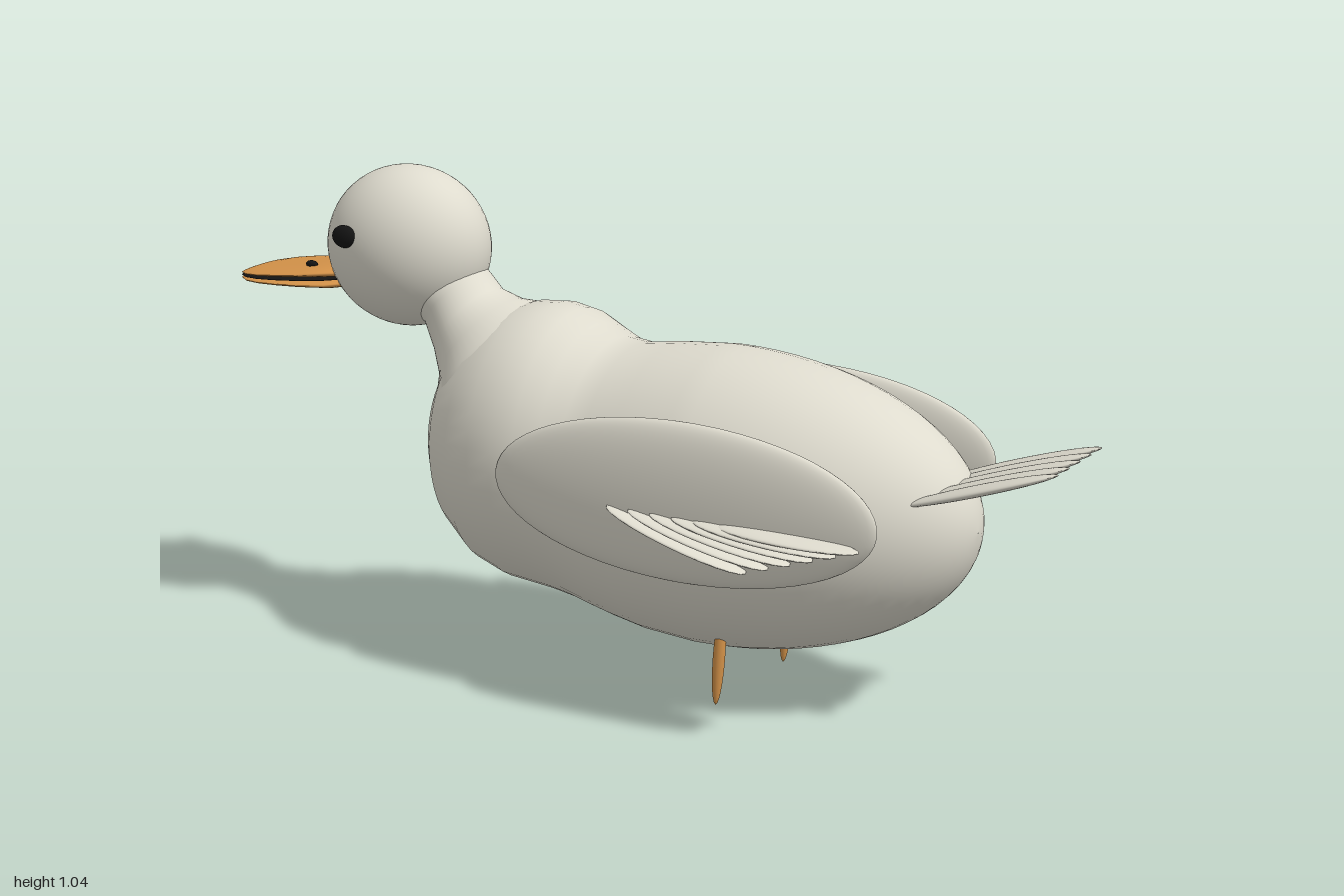
import * as THREE from 'three';

const plumage = new THREE.MeshStandardMaterial({ color: 0xdedbce });
plumage.name = 'pale plumage';
const orange = new THREE.MeshStandardMaterial({ color: 0xd6944a });
orange.name = 'bill orange';
const black = new THREE.MeshStandardMaterial({ color: 0x141414 });
black.name = 'black';

// Closed smooth skin through elliptical rings: [lowX, lowY, highX, highY, halfWidthZ]
function loft(sections, n = 48) {
  const pos = [], index = [];
  for (const [ax, ay, bx, by, w] of sections) {
    for (let j = 0; j < n; j++) {
      const a = (j / n) * Math.PI * 2, c = Math.cos(a) / 2;
      pos.push((ax + bx) / 2 + (bx - ax) * c, (ay + by) / 2 + (by - ay) * c, w * Math.sin(a));
    }
  }
  for (let i = 0; i < sections.length - 1; i++) {
    for (let j = 0; j < n; j++) {
      const k = (j + 1) % n, p = i * n, q = p + n;
      index.push(p + j, p + k, q + j, p + k, q + k, q + j);
    }
  }
  const geo = new THREE.BufferGeometry();
  geo.setAttribute('position', new THREE.Float32BufferAttribute(pos, 3));
  geo.setIndex(index);
  geo.computeVertexNormals();
  return geo;
}

// Rings standing upright along x: [x, bottom, top, halfWidthZ]
const uprightLoft = (rows) => loft(rows.map(([x, b, t, w]) => [x, b, x, t, w]));

function add(group, name, geo, mat) {
  const mesh = new THREE.Mesh(geo, mat);
  mesh.name = name;
  group.add(mesh);
  return mesh;
}

function ellipsoid(group, name, mat, center, radii, tilt = 0, detail = 32) {
  const geo = new THREE.SphereGeometry(1, detail, Math.ceil(detail * 0.6));
  const mesh = add(group, name, geo.scale(...radii), mat);
  mesh.position.set(...center);
  mesh.rotation.z = tilt;
  return mesh;
}

export function createModel() {
  const duck = new THREE.Group();
  duck.name = 'duck';

  // Body: rounded breast, slight waist, then a long egg-shaped rear
  const rows = [
    [-0.48, 0.459, 0.461, 0.001], [-0.476, 0.41, 0.51, 0.055], [-0.465, 0.365, 0.56, 0.095],
    [-0.44, 0.3, 0.64, 0.15], [-0.4, 0.24, 0.7, 0.205], [-0.33, 0.185, 0.752, 0.253],
    [-0.26, 0.162, 0.774, 0.276], [-0.2, 0.156, 0.778, 0.281], [-0.15, 0.15, 0.768, 0.278],
    [-0.1, 0.14, 0.742, 0.27], [-0.05, 0.126, 0.717, 0.268], [0, 0.114, 0.71, 0.273],
    [0.08, 0.099, 0.721, 0.288],
  ];
  for (let i = 0; i <= 20; i++) {
    const a = (i / 20) * Math.PI / 2 * 0.999 + 0.0005;
    const c = Math.cos(a);
    rows.push([0.2 + 0.587 * Math.sin(a), 0.41 - 0.32 * c, 0.41 + 0.32 * c, 0.297 * c]);
  }
  add(duck, 'body', uprightLoft(rows), plumage);

  // Neck sweeping from the head back into the breast
  add(duck, 'neck', loft([
    [-0.58, 0.75, -0.45, 0.88, 0.1], [-0.515, 0.7, -0.395, 0.825, 0.097],
    [-0.487, 0.64, -0.365, 0.79, 0.108], [-0.465, 0.58, -0.315, 0.772, 0.135],
    [-0.462, 0.51, -0.25, 0.768, 0.185], [-0.45, 0.43, -0.18, 0.74, 0.2],
  ]), plumage);

  ellipsoid(duck, 'head', plumage, [-0.58, 0.867, 0], [0.19, 0.178, 0.157], 0, 48);

  // Bill: two flat mandibles with a dark mouth line between them
  const bill = new THREE.Group();
  bill.name = 'bill';
  duck.add(bill);
  const outline = [
    [-1, 0.002], [-0.996, 0.045], [-0.98, 0.082], [-0.95, 0.108], [-0.91, 0.122],
    [-0.86, 0.126], [-0.8, 0.122], [-0.74, 0.105], [-0.69, 0.07], [-0.67, 0.002],
  ];
  const half = (low, high) => uprightLoft(outline.map(([x, w]) => {
    const t = (x + 1) / 0.3, mid = 0.773 + 0.018 * t;
    const full = Math.min(1, 0.15 + w / 0.11);
    return [x, mid + (low[0] + low[1] * t) * full, mid + (high[0] + high[1] * t) * full, w];
  }));
  add(bill, 'upperBill', half([-0.001, 0], [0.011, 0.02]), orange);
  add(bill, 'lowerBill', half([-0.014, -0.014], [0.001, 0]), orange);
  const mouth = add(bill, 'mouthLine', half([-0.003, 0], [0.003, 0]), black);
  mouth.scale.z = 1.015;

  // Flat feather fan of the tail
  const tail = new THREE.Group();
  tail.name = 'tail';
  duck.add(tail);
  for (let i = -2; i <= 2; i++) {
    ellipsoid(tail, 'tailFeather', plumage, [0.832, 0.534, i * 0.058], [0.176, 0.011, 0.036], 0.32, 24);
  }

  for (const s of [1, -1]) {
    const side = s > 0 ? 'left' : 'right';
    ellipsoid(duck, side + 'SideEye', black, [-0.65, 0.903, s * 0.147], [0.03, 0.025, 0.015], 0, 20);
    ellipsoid(bill, side + 'SideNostril', black, [-0.805, 0.811, s * 0.056], [0.015, 0.008, 0.01], 0, 12);

    // Oval wing with a staggered fan of flight feathers
    const wing = new THREE.Group();
    wing.name = side + 'SideWing';
    duck.add(wing);
    ellipsoid(wing, 'wingPad', plumage, [0.262, 0.473, s * 0.293], [0.438, 0.168, 0.043], 0, 48);
    for (let i = 0; i < 6; i++) {
      const root = [0.115 + i * 0.05, 0.456 - i * 0.001];
      const tip = [0.435 + i * 0.049, 0.36 + i * 0.016];
      const dx = tip[0] - root[0], dy = tip[1] - root[1];
      ellipsoid(wing, 'wingFeather', plumage,
        [(root[0] + tip[0]) / 2, (root[1] + tip[1]) / 2, s * 0.333],
        [Math.hypot(dx, dy) / 2, 0.009, 0.045], Math.atan2(dy, dx), 24);
    }

    // Short tapered leg
    ellipsoid(duck, side + 'SideLeg', orange, [0.281, 0.105, s * 0.155], [0.013, 0.105, 0.013], -0.07, 20);
  }
  return duck;
}
